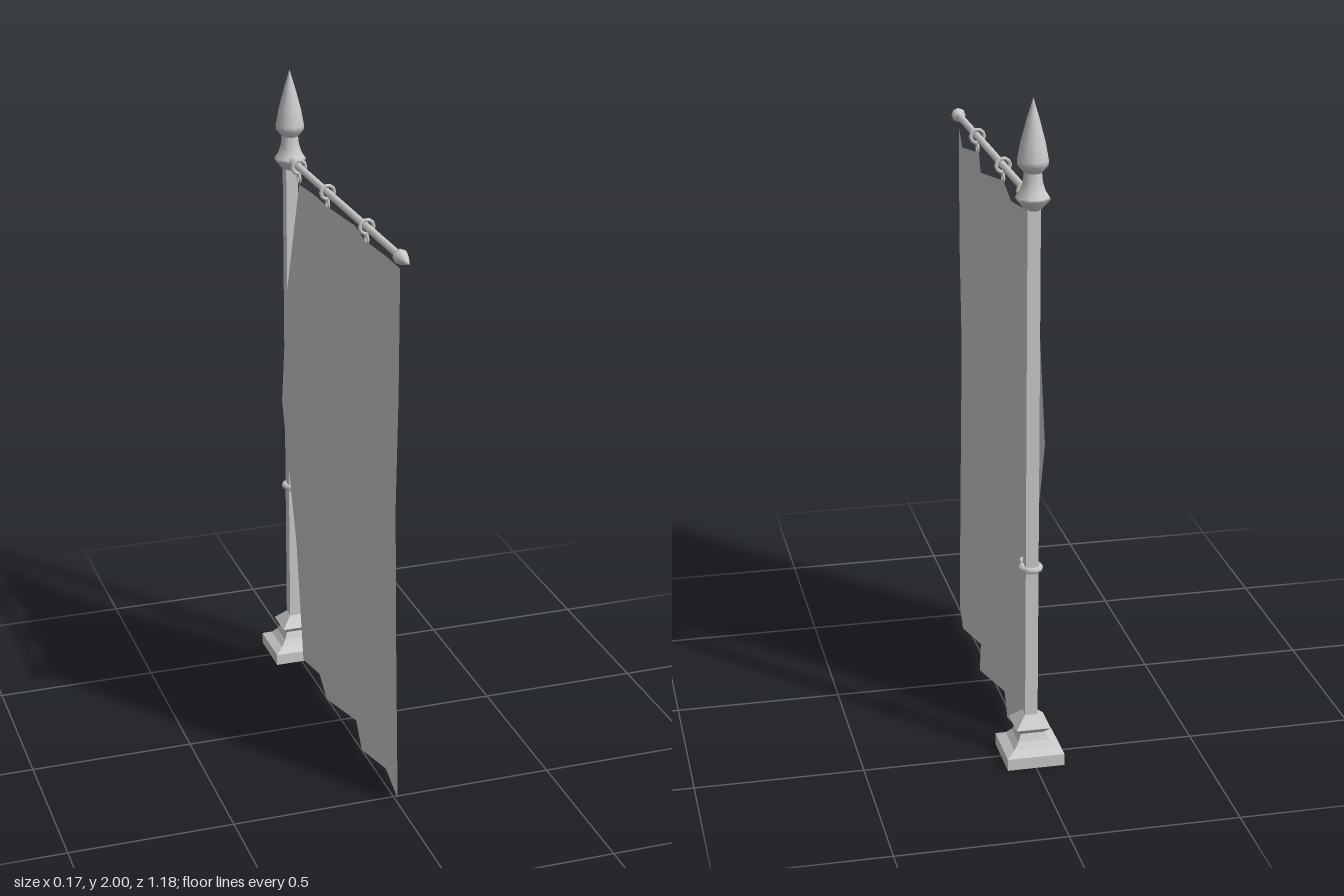
import * as THREE from 'three';

const POLE_Z = -0.508, ROD_Y = 1.715;
const smooth = new THREE.MeshStandardMaterial({ color: 0xcccccc });
const flat = new THREE.MeshStandardMaterial({ color: 0xcccccc, flatShading: true });
const cloth = new THREE.MeshStandardMaterial({ color: 0xcccccc, side: THREE.DoubleSide });

function part(parent, name, geometry, material, x = 0, y = 0, z = 0) {
  const mesh = new THREE.Mesh(geometry, material);
  mesh.name = name;
  mesh.position.set(x, y, z);
  parent.add(mesh);
  return mesh;
}

// Turned profile given as [radius, height] pairs
function turned(profile, sides, phi = 0) {
  return new THREE.LatheGeometry(profile.map(([r, y]) => new THREE.Vector2(r, y)), sides, phi);
}

// Square moulding given as [half width, height] pairs
function squareMoulding(profile) {
  return turned(profile.map(([h, y]) => [h * Math.SQRT2, y]), 4, Math.PI / 4);
}

// Hanging cloth: a grid whose columns fold in and out along x
function bannerGeometry() {
  const colZ = [-0.41, -0.3, -0.13, 0.03, 0.21, 0.34, 0.515];
  const topY = [1.66, 1.655, 1.67, 1.655, 1.67, 1.655, 1.68];
  const rowY = [1.66, 1.3, 0.95, 0.45, 0.015];
  const folds = [
    [0, 0.015, 0, 0.033, 0, 0.025, 0],
    [-0.045, 0.02, -0.015, 0.022, -0.01, 0.015, 0],
    [-0.063, 0.01, -0.03, 0.012, -0.02, 0.01, -0.005],
    [-0.02, 0.015, -0.025, 0.022, -0.02, 0.02, 0],
    [0, 0.02, -0.01, 0.035, -0.008, 0.025, 0],
  ];
  const frontEdge = [0, -0.003, -0.005, 0, 0.023];
  const poleEdge = [-0.005, -0.003, -0.002, 0.002, 0.007];
  const g = new THREE.PlaneGeometry(1, 1, 6, 4);
  const pos = g.attributes.position;
  for (let r = 0; r < 5; r++) {
    for (let c = 0; c < 7; c++) {
      const t = c / 6;
      const z = colZ[c] + THREE.MathUtils.lerp(poleEdge[r], frontEdge[r], t);
      pos.setXYZ(r * 7 + c, folds[r][c], r === 0 ? topY[c] : rowY[r], z);
    }
  }
  g.computeVertexNormals();
  return g;
}

export function createModel() {
  const group = new THREE.Group();

  // Square foot and post
  part(group, 'base', squareMoulding([
    [0, 0], [0.086, 0], [0.086, 0.036], [0.06, 0.05], [0.045, 0.068], [0.035, 0.09],
    [0.052, 0.108], [0.02, 0.142], [0, 0.142],
  ]), flat, 0, 0, POLE_Z);
  part(group, 'pole', new THREE.BoxGeometry(0.038, 1.6, 0.038), flat, 0, 0.9, POLE_Z);

  // Pole top: flared collar, neck and spear point
  part(group, 'finialCollar', turned([
    [0, 1.685], [0.024, 1.685], [0.05, 1.715], [0.048, 1.722], [0.036, 1.74], [0.028, 1.765], [0.025, 1.795],
  ], 8, Math.PI / 8), smooth, 0, 0, POLE_Z);
  part(group, 'finialPoint', turned([
    [0.025, 1.79], [0.043, 1.81], [0.044, 1.825], [0.035, 1.875], [0.018, 1.94], [0, 2],
  ], 10), smooth, 0, 0, POLE_Z);

  // Band around the pole with a small tie ring in front
  const band = part(group, 'poleBand', new THREE.TorusGeometry(0.027, 0.01, 6, 10), smooth, 0, 0.61, POLE_Z);
  band.rotation.x = Math.PI / 2;
  const tie = part(group, 'tieRing', new THREE.TorusGeometry(0.018, 0.006, 6, 10), smooth, 0, 0.61, -0.458);
  tie.rotation.x = Math.PI / 2;

  // Cross rod and its pointed end
  const rod = part(group, 'crossRod', new THREE.CylinderGeometry(0.011, 0.011, 1.01, 8), smooth, 0, ROD_Y, 0.015);
  rod.rotation.x = Math.PI / 2;
  const tip = part(group, 'rodTip', turned([
    [0, -0.005], [0.011, -0.005], [0.022, 0.012], [0.022, 0.022], [0.012, 0.055], [0, 0.09],
  ], 8), smooth, 0, ROD_Y, 0.5);
  tip.rotation.x = Math.PI / 2;
  const socket = part(group, 'rodSocket', new THREE.CylinderGeometry(0.016, 0.022, 0.05, 8), smooth, 0, ROD_Y, -0.46);
  socket.rotation.x = Math.PI / 2;

  // Hanging rings, each with a small eyelet holding the cloth
  for (const z of [-0.415, -0.13, 0.23]) {
    part(group, 'hangingRing', new THREE.TorusGeometry(0.021, 0.006, 6, 10), smooth, 0, ROD_Y, z);
    const eyelet = part(group, 'eyelet', new THREE.TorusGeometry(0.013, 0.004, 6, 8), smooth, 0, 1.679, z);
    eyelet.rotation.y = Math.PI / 2;
  }

  part(group, 'banner', bannerGeometry(), cloth);
  return group;
}
